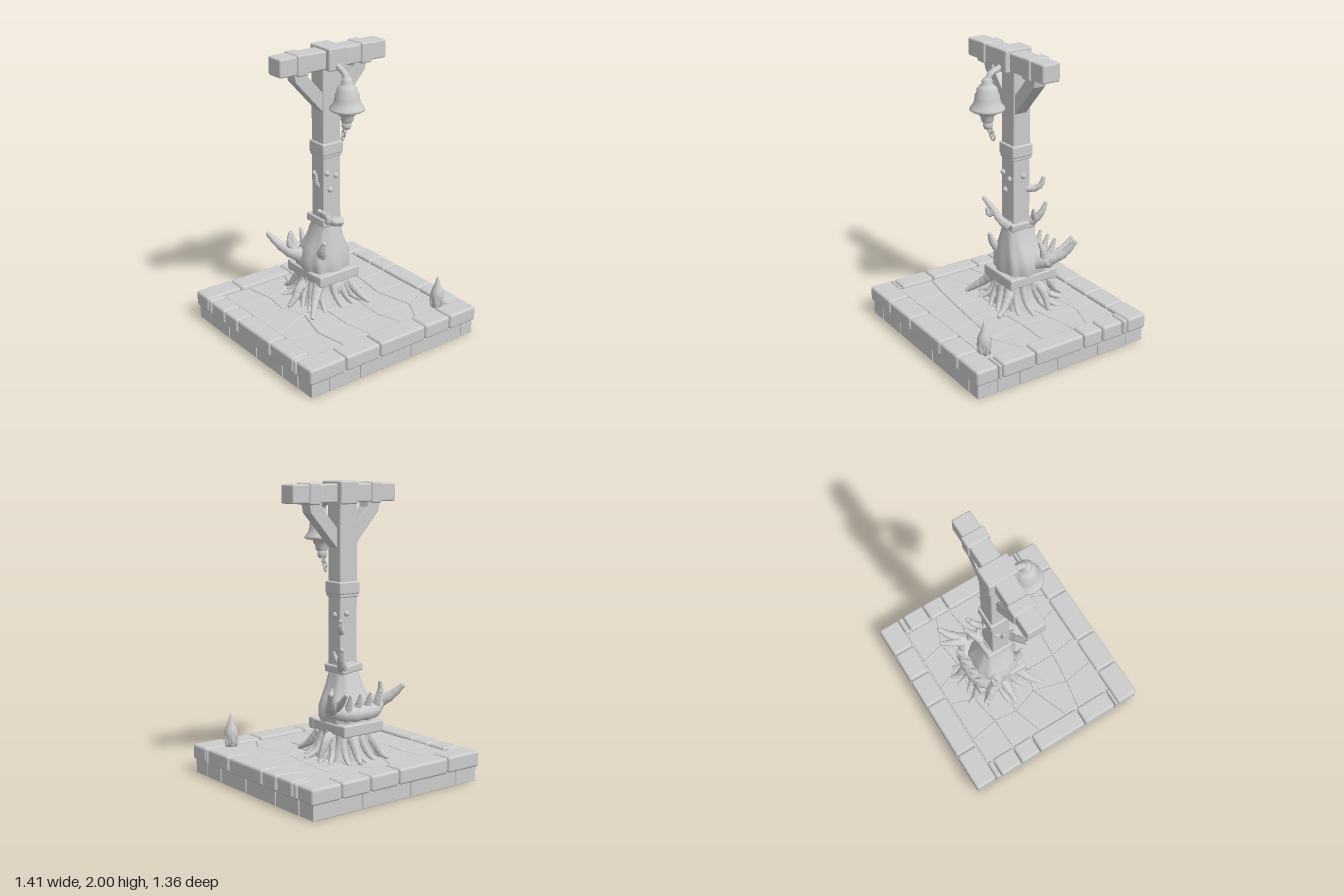
import * as THREE from 'three';
import { RoundedBoxGeometry } from 'three/addons/geometries/RoundedBoxGeometry.js';

const stone = new THREE.MeshStandardMaterial({ color: 0xcccccc });
stone.name = 'pale grey';

let seed = 7;
const rand = () => (seed = (seed * 16807) % 2147483647) / 2147483647;
const V = (p) => new THREE.Vector3(...p);

function add(parent, name, geometry, pos = [0, 0, 0]) {
  const mesh = new THREE.Mesh(geometry, stone);
  mesh.name = name;
  mesh.position.set(...pos);
  parent.add(mesh);
  return mesh;
}

// Rounded block given by its limits on each axis
function block(parent, name, x0, x1, y0, y1, z0, z1, r = 0.012) {
  const g = new RoundedBoxGeometry(x1 - x0, y1 - y0, z1 - z0, 2, r);
  return add(parent, name, g, [(x0 + x1) / 2, (y0 + y1) / 2, (z0 + z1) / 2]);
}

// Tapering limb along a curve, closed by a round tip
function limb(parent, name, points, r0, r1) {
  const curve = new THREE.CatmullRomCurve3(points.map(V));
  const n = 14, sides = 10;
  const g = new THREE.TubeGeometry(curve, n, 1, sides);
  const pos = g.attributes.position, p = new THREE.Vector3();
  for (let i = 0; i <= n; i++) {
    const c = curve.getPointAt(i / n);
    const r = THREE.MathUtils.lerp(r0, r1, i / n) * (1 + 0.08 * Math.sin(i * 2.3));
    for (let j = 0; j <= sides; j++) {
      const k = i * (sides + 1) + j;
      p.fromBufferAttribute(pos, k).sub(c).multiplyScalar(r).add(c);
      pos.setXYZ(k, p.x, p.y, p.z);
    }
  }
  g.computeVertexNormals();
  add(parent, name, g);
  add(parent, name + 'Tip', new THREE.SphereGeometry(r1, 10, 8), points.at(-1));
}

function lathe(parent, name, profile, pos) {
  const pts = profile.map(([r, y]) => new THREE.Vector2(r, y));
  return add(parent, name, new THREE.LatheGeometry(pts, 32), pos);
}

function buildBase(root) {
  const base = new THREE.Group();
  base.name = 'base';
  root.add(base);
  add(base, 'foundation', new THREE.BoxGeometry(1.36, 0.1, 1.32), [0, 0.05, 0]);
  add(base, 'floor', new THREE.BoxGeometry(1.2, 0.078, 1.12), [0, 0.139, 0]);

  // Two courses of stones: front and back rows, then the sides between them
  const course = (name, X, Z, y0, y1, front, back, sides, r) => {
    const g = 0.003;
    [[front, 0.52, Z], [back, -Z, -0.525]].forEach(([cuts, z0, z1]) => {
      const c = [-X, ...cuts, X];
      for (let i = 0; i < c.length - 1; i++)
        block(base, name, c[i] + g, c[i + 1] - g, y0, y1 - rand() * 0.006, z0, z1, r);
    });
    for (const s of [-1, 1]) {
      const c = [-0.525, ...sides, 0.52];
      for (let i = 0; i < c.length - 1; i++) {
        const [a, b] = s < 0 ? [-X, -0.572] : [0.572, X];
        block(base, name, a, b, y0, y1 - rand() * 0.006, c[i] + g, c[i + 1] - g, r);
      }
    }
  };
  course('lowerStone', 0.688, 0.666, 0, 0.105, [-0.55, -0.3, 0.13, 0.58], [-0.5, -0.1, 0.3], [-0.28, 0.05, 0.35], 0.005);
  course('rimStone', 0.705, 0.68, 0.098, 0.208, [-0.42, -0.14, 0.245, 0.465], [-0.42, 0.005, 0.24, 0.47], [-0.48, -0.31, -0.152, 0.232, 0.49], 0.018);

  // Irregular paving
  const n = 5, grid = [];
  for (let i = 0; i <= n; i++) for (let j = 0; j <= n; j++) {
    const jx = i % n ? (rand() - 0.5) * 0.13 : 0, jz = j % n ? (rand() - 0.5) * 0.13 : 0;
    grid.push([-0.57 + 1.14 * i / n + jx, -0.52 + 1.035 * j / n + jz]);
  }
  for (let i = 0; i < n; i++) for (let j = 0; j < n; j++) {
    const k = i * (n + 1) + j;
    const q = [grid[k], grid[k + n + 1], grid[k + n + 2], grid[k + 1]];
    const cx = q.reduce((s, p) => s + p[0], 0) / 4, cz = q.reduce((s, p) => s + p[1], 0) / 4;
    const shape = new THREE.Shape(q.map(([x, z]) =>
      new THREE.Vector2(cx + (x - cx) * 0.95, -(cz + (z - cz) * 0.95))));
    const g = new THREE.ExtrudeGeometry(shape, { depth: 0.01, bevelSize: 0.004, bevelThickness: 0.004, bevelSegments: 1 });
    g.rotateX(-Math.PI / 2);
    add(base, 'pavingStone', g, [0, 0.174 + rand() * 0.003, 0]);
  }
}

function buildTrunk(root) {
  const trunk = new THREE.Group();
  trunk.name = 'trunk';
  root.add(trunk);

  // Fluted trunk, rows from top to bottom: y, half width, half depth, z centre
  const rows = [[0.82, 0.07, 0.075, -0.09], [0.74, 0.085, 0.1, -0.1], [0.66, 0.11, 0.118, -0.105],
    [0.59, 0.14, 0.14, -0.115], [0.52, 0.172, 0.16, -0.125], [0.45, 0.168, 0.168, -0.13],
    [0.37, 0.15, 0.16, -0.13], [0.29, 0.16, 0.165, -0.13], [0.23, 0.185, 0.185, -0.125], [0.17, 0.21, 0.2, -0.12]];
  const n = rows.length - 1;
  const g = new THREE.CylinderGeometry(1, 1, 1, 64, n, true);
  const pos = g.attributes.position;
  const soft = (v) => Math.sign(v) * Math.abs(v) ** 0.75;
  for (let i = 0; i < pos.count; i++) {
    const [y, hx, hz, zc] = rows[Math.round((0.5 - pos.getY(i)) * n)];
    const a = Math.atan2(pos.getX(i), pos.getZ(i));
    const f = 1 + 0.05 * Math.sin(a * 9 + y * 5) * Math.min(1, (0.85 - y) * 2);
    pos.setXYZ(i, hx * f * soft(Math.sin(a)), y, zc + hz * f * soft(Math.cos(a)));
  }
  g.computeVertexNormals();
  add(trunk, 'bark', g);

  // Frame around the foot, and the tilted band above
  for (const s of [-1, 1]) {
    block(trunk, 'frameBar', -0.165, 0.17, 0.355, 0.435, -0.13 + s * 0.165 - 0.028, -0.13 + s * 0.165 + 0.028);
    block(trunk, 'frameBar', s * 0.14 - 0.027, s * 0.14 + 0.027, 0.36, 0.43, -0.31, 0.05);
  }
  block(trunk, 'upperBand', -0.088, 0.088, 0.75, 0.805, -0.2, -0.002).rotation.z = -0.12;

  // Ring of spreading roots
  for (let i = 0; i < 16; i++) {
    const a = (i + rand() * 0.5) / 16 * Math.PI * 2, L = 0.23 + rand() * 0.06;
    const at = (r, y, t = 0) => [r * Math.sin(a + t), y, -0.12 + r * Math.cos(a + t)];
    limb(trunk, 'root', [at(0.14, 0.37), at(0.175, 0.29), at(0.21, 0.225, 0.08), at(L, 0.19, 0.15)], 0.03, 0.014);
  }
  // Long roots
  [[[-0.13, 0.36, 0], [-0.2, 0.28, 0.05], [-0.24, 0.24, 0.09], [-0.28, 0.2, 0.13]],
   [[0.1, 0.33, 0.02], [0.13, 0.27, 0.07], [0.15, 0.23, 0.11], [0.17, 0.2, 0.16]],
   [[-0.14, 0.33, -0.12], [-0.21, 0.3, -0.12], [-0.25, 0.25, -0.11], [-0.3, 0.2, -0.11]],
   [[0.13, 0.34, -0.16], [0.19, 0.33, -0.17], [0.23, 0.27, -0.18], [0.26, 0.2, -0.18]],
   [[0.06, 0.36, -0.26], [0.08, 0.29, -0.32], [0.09, 0.23, -0.36], [0.1, 0.2, -0.4]],
   [[-0.08, 0.34, -0.26], [-0.1, 0.28, -0.31], [-0.12, 0.22, -0.35], [-0.13, 0.2, -0.39]],
  ].forEach((p) => limb(trunk, 'longRoot', p, 0.042, 0.016));

  add(trunk, 'knot', new THREE.SphereGeometry(0.055, 16, 12), [0, 0.3, 0.02]).scale.set(1, 1.2, 0.8);

  // Forked branches: points, start and end radius
  [[[[-0.1, 0.5, -0.15], [-0.19, 0.53, -0.22], [-0.25, 0.58, -0.29], [-0.3, 0.65, -0.35]], 0.06, 0.018],
   [[[-0.18, 0.53, -0.22], [-0.21, 0.6, -0.23], [-0.2, 0.67, -0.24]], 0.032, 0.012],
   [[[0.1, 0.49, -0.15], [0.19, 0.53, -0.22], [0.26, 0.58, -0.3], [0.31, 0.67, -0.36]], 0.06, 0.018],
   [[[0.19, 0.54, -0.24], [0.21, 0.59, -0.33], [0.22, 0.66, -0.4]], 0.035, 0.013],
   [[[0.18, 0.53, -0.2], [0.18, 0.6, -0.19], [0.16, 0.65, -0.18]], 0.03, 0.013],
   [[[-0.09, 0.55, -0.02], [-0.12, 0.61, 0.02], [-0.12, 0.67, 0.045]], 0.04, 0.015],
   [[[0.06, 0.77, -0.01], [-0.03, 0.8, 0.01], [-0.09, 0.86, 0.03], [-0.165, 0.925, 0.055]], 0.035, 0.016],
   [[[-0.08, 0.85, 0.03], [-0.1, 0.83, 0.06], [-0.11, 0.87, 0.07]], 0.024, 0.012],
   [[[0.04, 0.77, -0.15], [0.09, 0.81, -0.19], [0.12, 0.86, -0.22], [0.13, 0.92, -0.245]], 0.04, 0.014],
   [[[0.09, 0.81, -0.18], [0.11, 0.85, -0.16], [0.12, 0.89, -0.15]], 0.024, 0.01],
   [[[0.04, 1.03, -0.12], [0.09, 1.03, -0.18], [0.12, 1.06, -0.21], [0.125, 1.105, -0.225]], 0.03, 0.014],
   [[[-0.06, 1.03, -0.08], [-0.085, 1.06, -0.08], [-0.09, 1.12, -0.08]], 0.018, 0.01],
  ].forEach(([p, a, b]) => limb(trunk, 'branch', p, a, b));

  // Bark lip across the back with short spikes
  limb(trunk, 'barkLip', [[-0.19, 0.52, -0.22], [-0.1, 0.5, -0.285], [0, 0.5, -0.3], [0.1, 0.5, -0.285], [0.19, 0.52, -0.22]], 0.05, 0.05);
  for (const x of [-0.12, -0.04, 0.04, 0.12])
    limb(trunk, 'barkSpike', [[x, 0.5, -0.28], [x, 0.57, -0.31], [x * 1.05, 0.63, -0.33]], 0.034, 0.01);
}

function buildPost(root) {
  const post = new THREE.Group();
  post.name = 'post';
  root.add(post);
  block(post, 'shaft', -0.072, 0.072, 0.5, 1.99, -0.155, -0.022, 0.01);
  block(post, 'collar', -0.084, 0.084, 1.265, 1.35, -0.17, -0.008);
  block(post, 'collarLip', -0.078, 0.078, 1.245, 1.29, -0.165, -0.014, 0.008);
  [[-0.045, 1.14, -0.02], [0.03, 1.11, -0.02], [0.07, 1.13, -0.1], [-0.02, 1.02, -0.02], [-0.07, 1.12, -0.12], [0.02, 1.14, -0.155]]
    .forEach((p) => add(post, 'knot', new THREE.SphereGeometry(0.02, 12, 8), p));

  // Crossbeam with its straps and braces
  block(post, 'crossbeam', -0.425, 0.425, 1.86, 1.982, -0.125, 0.008);
  block(post, 'centreBracket', -0.071, 0.071, 1.85, 2, -0.165, 0.042);
  for (const s of [-1, 1]) {
    block(post, 'beamStrap', s * 0.255 - 0.042, s * 0.255 + 0.042, 1.85, 1.99, -0.136, 0.02);
    const brace = new THREE.Shape([[0.06, 1.56], [0.06, 1.68], [0.19, 1.825], [0.2, 1.87], [0.29, 1.87], [0.275, 1.8]]
      .map(([x, y]) => new THREE.Vector2(s * x, y)));
    const g = new THREE.ExtrudeGeometry(brace, { depth: 0.08, bevelSize: 0.005, bevelThickness: 0.005, bevelSegments: 2 });
    add(post, 'brace', g, [0, 0, -0.115]);
  }
}

function buildBell(root) {
  const bell = new THREE.Group();
  bell.name = 'bell';
  root.add(bell);
  limb(bell, 'hook', [[0, 1.88, 0.03], [0, 1.865, 0.07], [0, 1.845, 0.11], [0, 1.8, 0.135]], 0.02, 0.022);
  lathe(bell, 'bellBody', [[0, 1.525], [0.032, 1.53], [0.042, 1.545], [0.044, 1.575], [0.055, 1.58], [0.06, 1.605],
    [0.105, 1.61], [0.116, 1.618], [0.113, 1.63], [0.092, 1.655], [0.082, 1.69], [0.08, 1.715], [0.07, 1.73],
    [0.067, 1.755], [0.05, 1.775], [0.035, 1.785], [0.036, 1.805], [0.024, 1.825], [0, 1.83]], [0, 0, 0.135]);
  lathe(bell, 'clapper', [[0, 1.48], [0.024, 1.485], [0.033, 1.505], [0.03, 1.54], [0, 1.545]], [0, 0, 0.13]);
  // Pull chain
  [[1.475, 0.115], [1.445, 0.102], [1.42, 0.092]].forEach(([y, z], i) => {
    const link = add(bell, 'chainLink', new THREE.TorusGeometry(0.015, 0.007, 8, 16), [0, y, z]);
    link.rotation.y = i % 2 ? Math.PI / 2 : 0.4;
    link.scale.y = 1.35;
  });
}

export function createModel() {
  const root = new THREE.Group();
  root.name = 'bellPost';
  buildBase(root);
  buildTrunk(root);
  buildPost(root);
  buildBell(root);

  // Pointed bud on the front left corner
  lathe(root, 'bud', [[0, 0.19], [0.042, 0.195], [0.034, 0.225], [0.044, 0.255], [0.046, 0.29], [0.036, 0.325],
    [0.02, 0.36], [0.011, 0.395], [0, 0.425]], [0.505, 0, 0.5]);
  for (let i = 0; i < 5; i++) {
    const a = i * 1.257, c = Math.cos(a), s = Math.sin(a);
    limb(root, 'budLeaf', [[0.505 + 0.03 * c, 0.2, 0.5 + 0.03 * s], [0.505 + 0.04 * c, 0.25, 0.5 + 0.04 * s],
      [0.505 + 0.025 * c, 0.33, 0.5 + 0.025 * s]], 0.014, 0.006);
  }
  return root;
}
